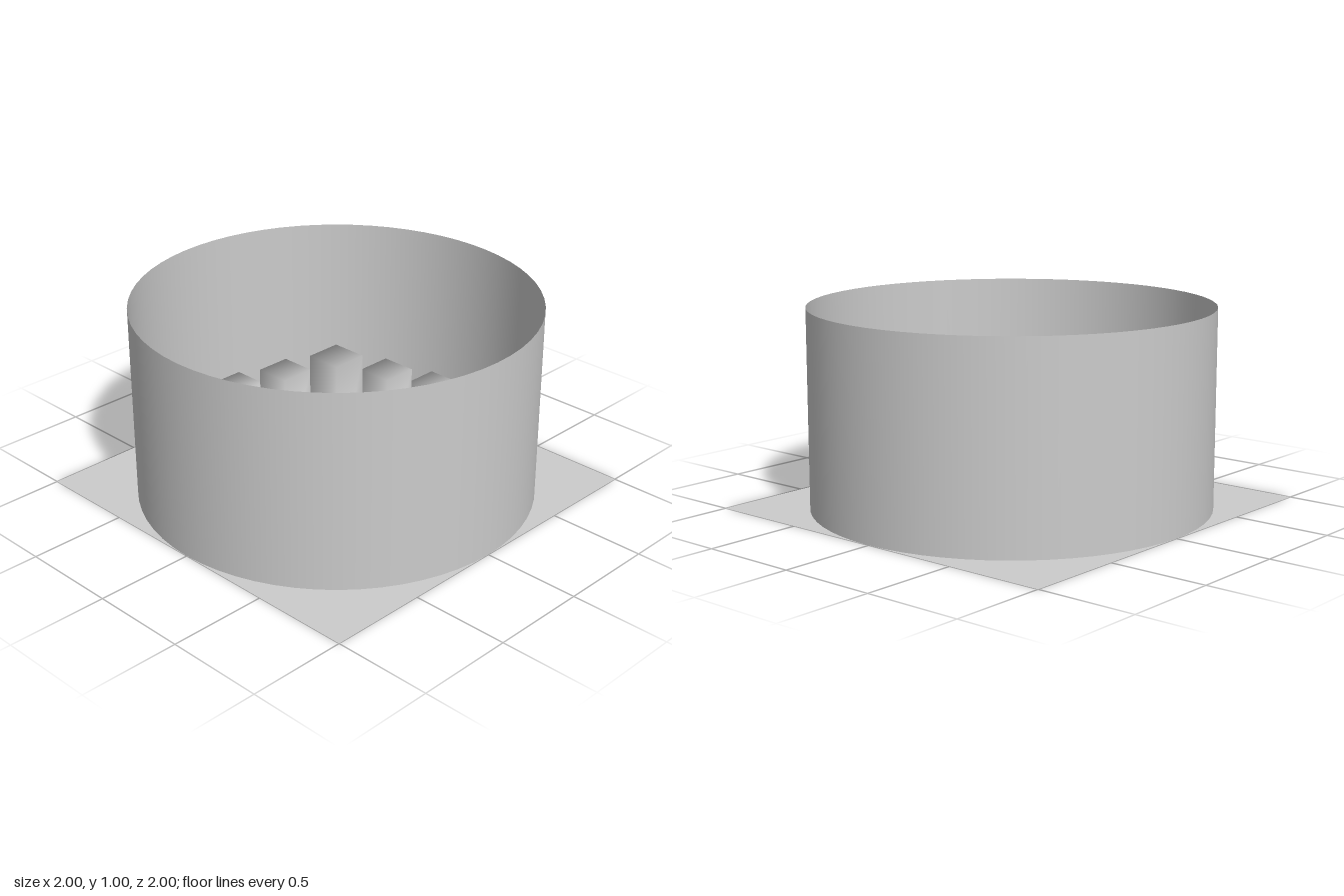
import * as THREE from 'three';

const N = 11;              // cells per side of the plate
const CELL = 2 / N;

// Height of the post on a cell, 0 where the plate stays flat
function postHeight(i, j) {
  const a = Math.abs(i - 5), b = Math.abs(j - 5);
  const steps = (a + b) / 2;
  if (a % 2 || b % 2 || steps > 2) return 0;
  return 0.7 - 0.2 * steps;
}

// Flat sheet whose raised cells are pulled up into hollow posts, with shared smooth normals
function plateGeometry() {
  const pos = [], index = [];
  const vertex = (i, j, y) => pos.push(-1 + i * CELL, y, -1 + j * CELL) / 3 - 1;
  const quad = (a, b, c, d) => index.push(a, b, c, a, c, d);

  for (let j = 0; j <= N; j++) for (let i = 0; i <= N; i++) vertex(i, j, 0);

  for (let j = 0; j < N; j++) {
    for (let i = 0; i < N; i++) {
      // Corners run counter-clockwise seen from above
      const corners = [[i, j], [i, j + 1], [i + 1, j + 1], [i + 1, j]];
      const base = corners.map(([u, v]) => v * (N + 1) + u);
      const h = postHeight(i, j);
      if (!h) {
        quad(...base);
        continue;
      }
      const top = corners.map(([u, v]) => vertex(u, v, h));
      quad(...top);
      for (let k = 0; k < 4; k++) {
        const n = (k + 1) % 4;
        quad(base[k], base[n], top[n], top[k]);
      }
    }
  }

  const geometry = new THREE.BufferGeometry();
  geometry.setAttribute('position', new THREE.Float32BufferAttribute(pos, 3));
  geometry.setIndex(index);
  geometry.computeVertexNormals();
  return geometry;
}

export function createModel() {
  const model = new THREE.Group();
  const material = new THREE.MeshStandardMaterial({ color: 0xcccccc, side: THREE.DoubleSide });

  // Square plate with its diamond of stepped posts
  const plate = new THREE.Mesh(plateGeometry(), material);
  plate.name = 'plateWithPosts';
  model.add(plate);

  // Thin round wall, open at both ends
  const wall = new THREE.Mesh(new THREE.CylinderGeometry(1, 1, 1, 64, 1, true), material);
  wall.name = 'roundWall';
  wall.position.y = 0.5;
  model.add(wall);

  return model;
}
